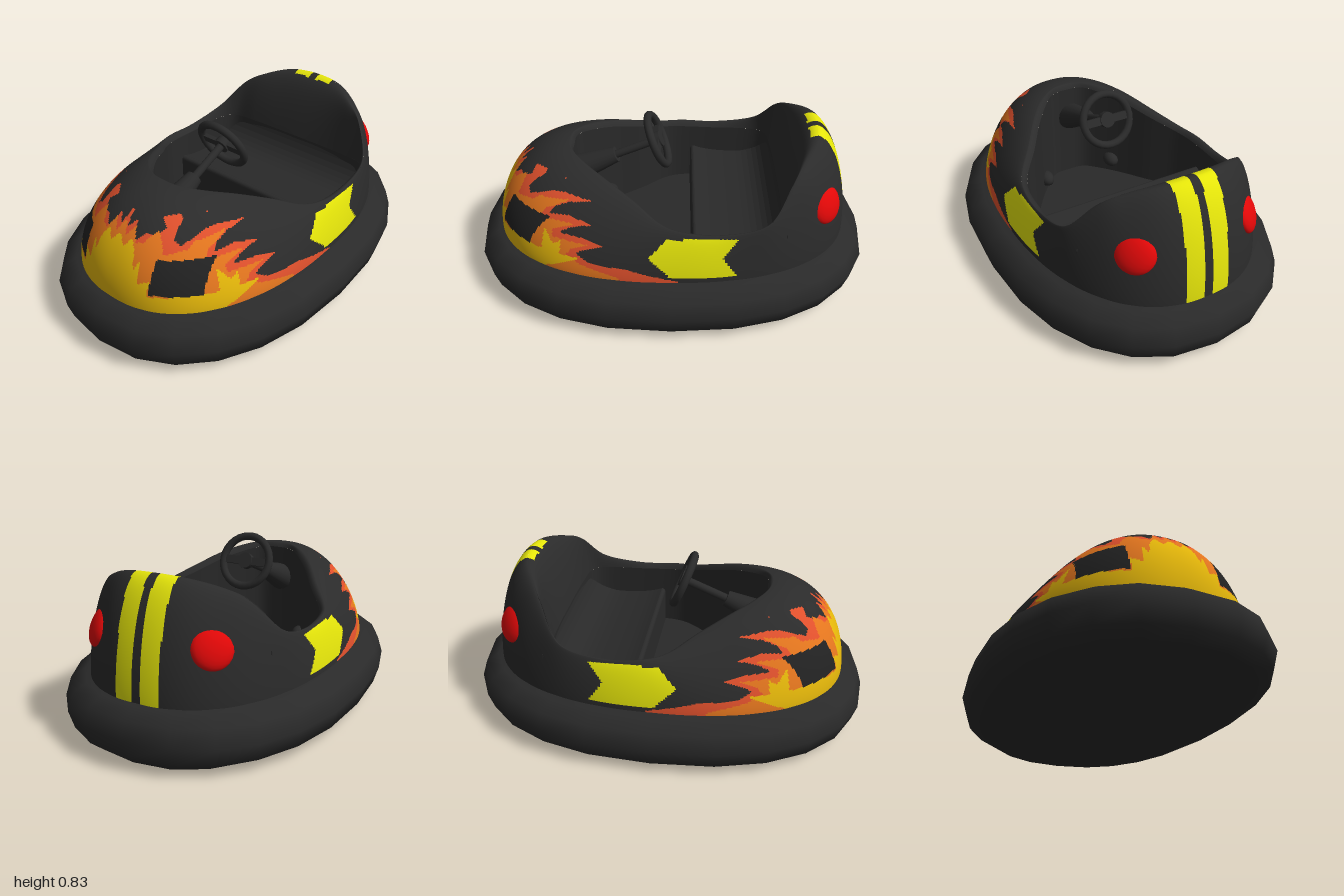
import * as THREE from 'three';

const mat = (name, color) => {
  const m = new THREE.MeshStandardMaterial({ color });
  m.name = name;
  return m;
};

// Half outline of the cockpit rim, nose to tail, one row per 15 degrees: x, y, z
const RIM = [
  [0, .705, .51], [.09, .70, .49], [.19, .68, .42], [.28, .645, .31], [.37, .59, .18],
  [.46, .535, .06], [.505, .515, -.06], [.51, .505, -.24], [.482, .55, -.45],
  [.37, .695, -.558], [.275, .752, -.62], [.15, .79, -.685], [0, .80, -.705],
];
// Matching inner edge where the cockpit walls begin
const WELL = [
  [0, .68, .485], [.09, .675, .475], [.17, .655, .40], [.255, .62, .295], [.345, .565, .165],
  [.44, .51, .045], [.475, .49, -.06], [.48, .48, -.24], [.47, .48, -.43],
  [.42, .48, -.515], [.30, .48, -.53], [.15, .48, -.535], [0, .48, -.535],
];
const FLOOR_Y = 0.16;

// Closed smooth loop from a mirrored half table
const loop = (half) => new THREE.CatmullRomCurve3([
  ...half.map((p) => new THREE.Vector3(...p)),
  ...half.slice(1, -1).reverse().map(([x, y, z]) => new THREE.Vector3(-x, y, z)),
], true, 'catmullrom', 0.5);
const rim = loop(RIM), well = loop(WELL);

// Rounded oval, u = 0 at the nose, turning towards +x
function oval(u, rx, rz, y) {
  const a = u * Math.PI * 2, s = Math.sin(a), c = Math.cos(a), e = 2 / 2.3;
  return new THREE.Vector3(Math.sign(s) * rx * Math.abs(s) ** e, y, Math.sign(c) * rz * Math.abs(c) ** e);
}

// Surface closed around u; paint(point) picks a material index for each cell
function loft(name, fn, nu, nv, mats, paint = () => 0) {
  const pts = [], buckets = mats.map(() => []);
  for (let j = 0; j <= nv; j++) for (let i = 0; i < nu; i++) pts.push(fn(i / nu, j / nv));
  for (let j = 0; j < nv; j++) for (let i = 0; i < nu; i++) {
    const k = (i + 1) % nu, a = j * nu + i, b = j * nu + k, c = b + nu, d = a + nu;
    const mid = pts[a].clone().add(pts[b]).add(pts[c]).add(pts[d]).multiplyScalar(0.25);
    buckets[paint(mid)].push(a, b, c, a, c, d);
  }
  const g = new THREE.BufferGeometry().setFromPoints(pts);
  let start = 0;
  buckets.forEach((idx, m) => {
    if (idx.length) g.addGroup(start, idx.length, m);
    start += idx.length;
  });
  g.setIndex(buckets.flat());
  g.computeVertexNormals();
  const mesh = new THREE.Mesh(g, mats);
  mesh.name = name;
  return mesh;
}

// Painted areas: nose shapes use (|x|, y), flank shapes use (z, y)
const NOSE = {
  yellow: [[-.1, .2], [-.1, .57], [0, .57], [.04, .53], [.07, .57], [.1, .53], [.12, .45], [.14, .5], [.15, .4],
    [.2, .42], [.2, .35], [.38, .36], [.42, .45], [.42, .2]],
  orange: [[-.1, .2], [-.1, .62], [0, .62], [.03, .57], [.06, .61], [.09, .56], [.12, .56], [.16, .61], [.19, .58],
    [.22, .53], [.3, .55], [.45, .54], [.45, .2]],
  red: [[-.1, .2], [-.1, .66], [0, .66], [.02, .6], [.05, .63], [.08, .56], [.12, .6], [.16, .59], [.18, .62],
    [.14, .65], [.19, .655], [.21, .64], [.23, .58], [.26, .56], [.29, .59], [.45, .6], [.45, .2]],
};
const FLANK = {
  yellow: [[.95, .2], [.95, .36], [.62, .36], [.6, .46], [.56, .4], [.52, .42], [.53, .36], [.43, .36], [.6, .28], [.6, .2]],
  orange: [[.95, .2], [.95, .57], [.7, .575], [.6, .62], [.65, .575], [.6, .57], [.47, .585], [.6, .53], [.62, .5],
    [.45, .5], [.56, .46], [.56, .43], [.38, .425], [.47, .395], [.5, .36], [.42, .33], [.25, .29], [.25, .2]],
  red: [[.95, .2], [.95, .6], [.72, .605], [.62, .635], [.485, .648], [.58, .618], [.61, .595], [.5, .605], [.37, .59],
    [.48, .575], [.55, .55], [.57, .52], [.47, .53], [.375, .505], [.47, .485], [.53, .455], [.42, .45], [.31, .43],
    [.4, .405], [.45, .38], [.38, .345], [.2, .335], [.1, .31], [-.03, .285], [-.03, .2]],
};
const LAMP = [[.205, .36], [.205, .512], [.375, .507], [.39, .36]];
const ARROW = [[.105, .4], [.02, .49], [-.05, .485], [-.06, .497], [-.31, .49], [-.24, .4], [-.31, .3], [0, .3]];

function inside(poly, x, y) {
  let hit = false;
  poly.forEach(([x1, y1], i) => {
    const [x2, y2] = poly[(i + 1) % poly.length];
    if ((y1 > y) !== (y2 > y) && x < x1 + (x2 - x1) * (y - y1) / (y2 - y1)) hit = !hit;
  });
  return hit;
}

// 0 body, 1 flame yellow, 2 flame orange, 3 flame red, 4 stripe yellow, 5 headlamp
function paintBody({ x, y, z }) {
  const ax = Math.abs(x);
  if (z < -0.665) return ax > 0.02 && ax < 0.11 ? 4 : 0;
  if (inside(ARROW, z, y)) return 4;
  if (z < -0.05) return 0;
  if (z > 0.4 && inside(LAMP, ax, y)) return 5;
  const nose = ax < 0.29 && z > 0.5, set = nose ? NOSE : FLANK, p = nose ? ax : z;
  return inside(set.yellow, p, y) ? 1 : inside(set.orange, p, y) ? 2 : inside(set.red, p, y) ? 3 : 0;
}

export function createModel() {
  const model = new THREE.Group();
  const body = mat('bodyBlack', 0x2b2b2b), rubber = mat('rubberBlack', 0x2a2a2a);
  const interior = mat('interiorBlack', 0x292929), red = mat('tailLampRed', 0xe20808);
  const paints = [body, mat('flameYellow', 0xe6b80a), mat('flameOrange', 0xe4761e),
    mat('flameRed', 0xe0502c), mat('stripeYellow', 0xe6e60a), mat('headlampDark', 0x222222)];
  const add = (name, geo, m, parent = model) => {
    const mesh = new THREE.Mesh(geo, m);
    mesh.name = name;
    parent.add(mesh);
    return mesh;
  };

  // Rubber bumper with closed underside: rings of half width, half length, height
  const rings = [[0, 0, 0], [.35, .6, 0], [.575, .92, .01], [.68, .975, .06], [.705, 1, .145],
    [.68, .972, .23], [.61, .91, .27], [.53, .83, .285]];
  model.add(loft('bumper', (u, v) => oval(u, ...rings[Math.round(v * (rings.length - 1))]),
    24, rings.length - 1, [rubber]));

  // Outer shell curves up from the bumper to the rim, roundest at the nose and flattest at the flanks
  model.add(loft('bodyShell', (u, v) => {
    const r = rim.getPoint(u), b = oval(u, .577, .885, .27), t = v * Math.PI / 2;
    const c = Math.cos(u * Math.PI * 2), e = 2 / (1.4 + (c > 0 ? 0.6 : 0.35) * c * c);
    const p = r.clone().lerp(b, Math.max(0, Math.cos(t)) ** e);
    p.y = b.y + (r.y - b.y) * Math.sin(t) ** e;
    return p;
  }, 540, 80, paints, paintBody));

  // Rolled lip, backrest, cockpit walls and floor
  model.add(loft('cockpitLip', (u, v) => {
    const r = rim.getPoint(u), w = well.getPoint(u), p = r.clone().lerp(w, v);
    p.y = r.y + (w.y - r.y) * v ** 2.2;
    return p;
  }, 360, 24, paints, (p) => (p.z < -0.665 ? paintBody(p) : 0)));
  model.add(loft('cockpitWall', (u, v) => {
    const w = well.getPoint(u);
    w.y += (FLOOR_Y - w.y) * v;
    return w;
  }, 96, 4, [interior]));
  model.add(loft('cockpitFloor', (u, v) => {
    const w = well.getPoint(u).lerp(new THREE.Vector3(0, 0, -0.1), v);
    w.y = FLOOR_Y;
    return w;
  }, 96, 1, [interior]));

  // Dished bench seat, profile drawn as (-z, y) and extruded across
  const profile = new THREE.Shape();
  profile.moveTo(.1, FLOOR_Y);
  profile.lineTo(.54, FLOOR_Y);
  profile.lineTo(.54, .48);
  profile.quadraticCurveTo(.5, .33, .36, .33);
  profile.quadraticCurveTo(.2, .33, .12, .365);
  profile.quadraticCurveTo(.1, .365, .1, .34);
  const seat = add('seat', new THREE.ExtrudeGeometry(profile, { depth: .94, bevelEnabled: false, curveSegments: 8 }), interior);
  seat.rotation.y = Math.PI / 2;
  seat.position.x = -.47;

  // Steering wheel: local +z points up and back towards the driver
  const wheel = new THREE.Group();
  wheel.name = 'steeringWheel';
  wheel.position.set(-.02, .69, .07);
  wheel.lookAt(-.02, 1.08, -.85);
  model.add(wheel);
  add('wheelRim', new THREE.TorusGeometry(.13, .02, 10, 28), rubber, wheel);
  add('wheelSpoke', new THREE.BoxGeometry(.25, .04, .02), rubber, wheel);
  const hub = add('wheelHub', new THREE.CylinderGeometry(.04, .04, .035, 16), rubber, wheel);
  hub.rotation.x = Math.PI / 2;
  const column = add('steeringColumn', new THREE.CylinderGeometry(.02, .02, .3, 12), rubber, wheel);
  column.rotation.x = Math.PI / 2;
  column.position.z = -.15;
  const pod = add('columnHousing', new THREE.CylinderGeometry(.04, .075, .24, 16), interior, wheel);
  pod.rotation.x = Math.PI / 2;
  pod.position.z = -.35;

  for (const s of [-1, 1]) {
    // Pedals
    const pedal = add(s > 0 ? 'leftPedal' : 'rightPedal', new THREE.SphereGeometry(1, 14, 10), rubber);
    pedal.scale.set(.04, .04, .055);
    pedal.position.set(s * .205, .24, .355);
    // Domed tail lamps
    const lamp = add(s > 0 ? 'leftTailLamp' : 'rightTailLamp', new THREE.SphereGeometry(1, 20, 12), red);
    lamp.scale.set(.095, .095, .042);
    lamp.position.set(s * .292, .525, -.735);
    lamp.lookAt(s * .942, .905, -1.385);
  }
  return model;
}
